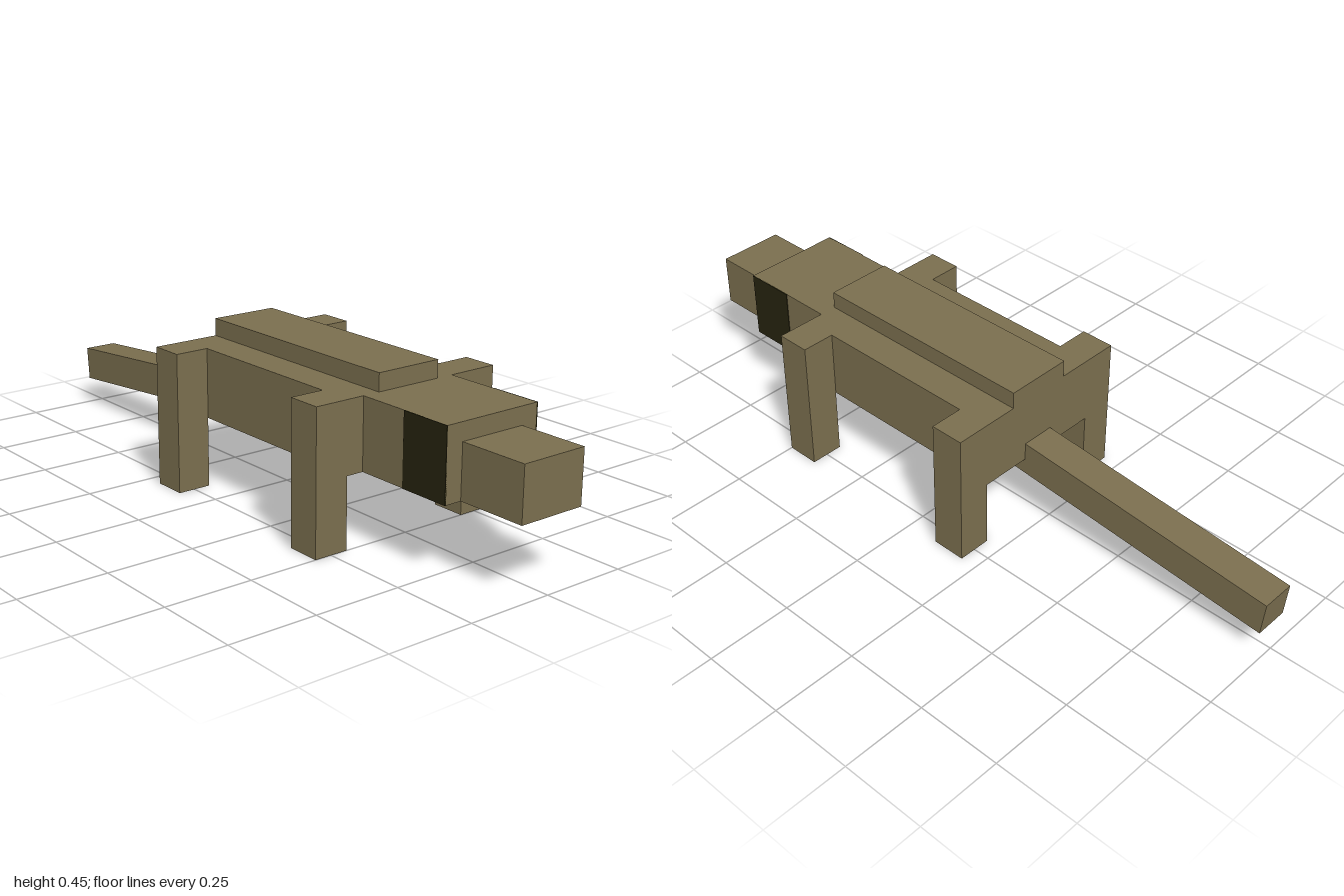
import * as THREE from 'three';

const material = (name, color) => Object.assign(new THREE.MeshStandardMaterial({ color }), { name });

export function createModel() {
  const hide = material('olive brown hide', 0x7a6e4e);
  const belly = material('grey underside', 0xa9a292);
  const eye = material('dark eye', 0x26230f);
  const withBelly = [hide, hide, hide, belly, hide, hide]; // underside face is grey

  const model = new THREE.Group();
  model.name = 'reptile';

  // Box given by its lower and upper corners
  function block(name, [x0, y0, z0], [x1, y1, z1], mat) {
    const mesh = new THREE.Mesh(new THREE.BoxGeometry(x1 - x0, y1 - y0, z1 - z0), mat);
    mesh.position.set((x0 + x1) / 2, (y0 + y1) / 2, (z0 + z1) / 2);
    mesh.name = name;
    model.add(mesh);
    return mesh;
  }

  // Trunk, back ridge, head and snout
  block('body', [-0.2, 0.2, -0.2], [0.2, 0.4, 0.5], withBelly);
  block('backRidge', [-0.1, 0.4, -0.2], [0.1, 0.45, 0.5], hide);
  block('head', [-0.15, 0.2, 0.5], [0.15, 0.4, 0.8], withBelly);
  block('snout', [-0.1, 0.2, 0.8], [0.1, 0.35, 1], withBelly);

  // Legs and eye patches, mirrored left and right
  for (const [side, s] of [['left', 1], ['right', -1]]) {
    for (const [end, z] of [['Front', 0.4], ['Hind', -0.2]]) {
      const x = s > 0 ? 0.2 : -0.3;
      block(`${side}${end}Leg`, [x, 0, z], [x + 0.1, 0.4, z + 0.1], hide);
    }
    const ex = s * 0.15;
    block(`${side}Eye`, [ex - 0.002, 0.2, 0.65], [ex + 0.002, 0.4, 0.8], eye);
  }

  // Tail, sloping gently down towards the tip
  const tail = block('tail', [-0.05, 0.1264, -0.9975], [0.05, 0.2264, 0.0025], hide);
  tail.rotation.x = -THREE.MathUtils.degToRad(5);

  return model;
}
